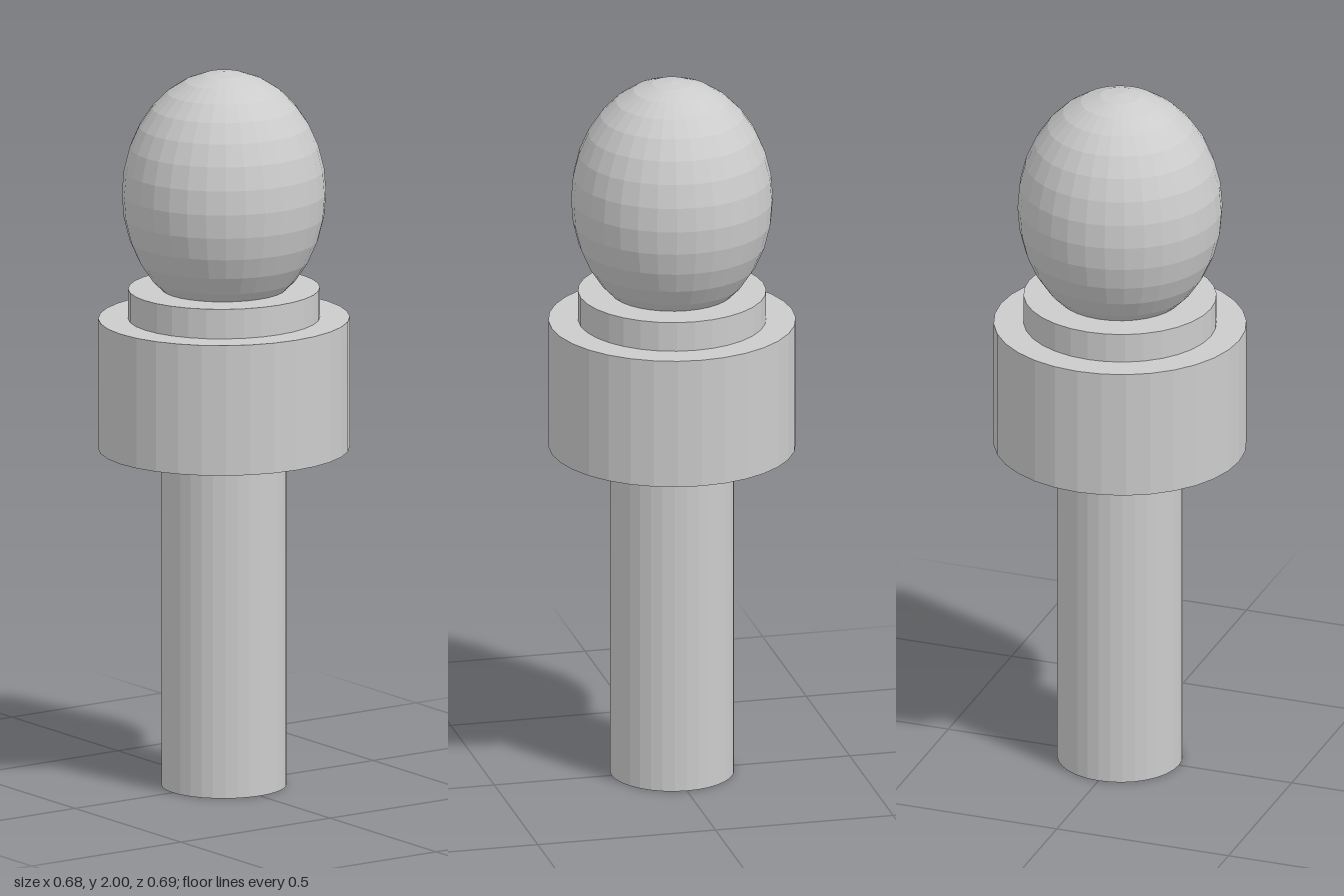
import * as THREE from 'three';

const SIDES = 32;

export function createModel() {
  const model = new THREE.Group();
  const material = new THREE.MeshStandardMaterial({ color: 0xcccccc, flatShading: true });

  function add(name, geometry, y) {
    const mesh = new THREE.Mesh(geometry, material);
    mesh.name = name;
    mesh.position.y = y;
    model.add(mesh);
  }

  // Slightly oval upright drum between two heights
  function drum(name, rx, rz, bottom, top) {
    const geometry = new THREE.CylinderGeometry(1, 1, top - bottom, SIDES).scale(rx, 1, rz);
    add(name, geometry, (bottom + top) / 2);
  }

  drum('stem', 0.17, 0.172, 0, 0.945);
  drum('collar', 0.338, 0.347, 0.945, 1.31);
  drum('neckRing', 0.257, 0.265, 1.31, 1.393);

  // Egg-shaped knob, its base sunk into the ring
  add('knob', new THREE.SphereGeometry(1, SIDES, 16).scale(0.276, 0.34, 0.281), 1.66);

  return model;
}
